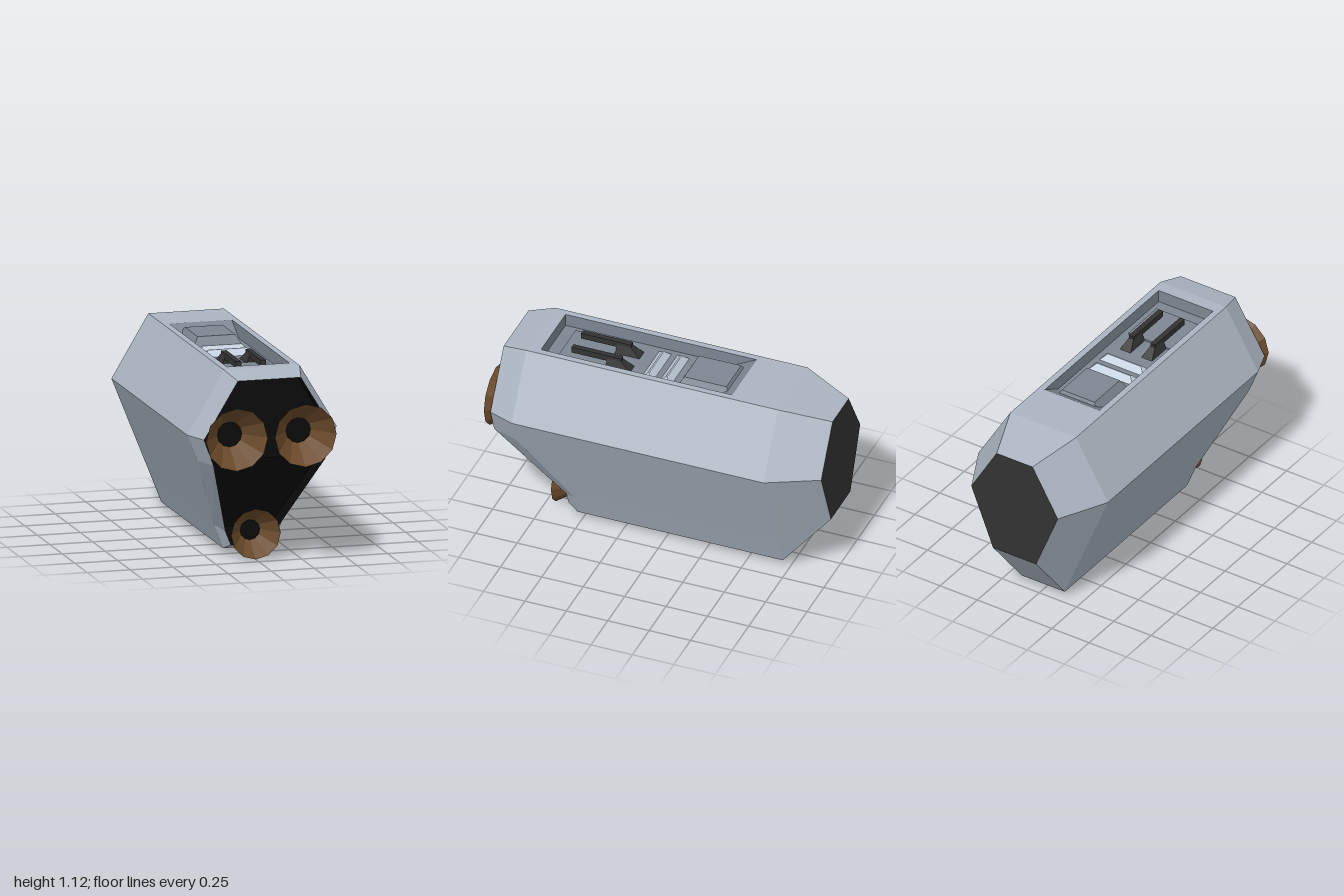
import * as THREE from 'three';

const mat = (color) => new THREE.MeshStandardMaterial({ color, flatShading: true, side: THREE.DoubleSide });
const HULL = mat(0xaab4c0), PANEL = mat(0x7d8692), STRIP = mat(0xc4d0de);
const DARK = mat(0x333333), BLACK = mat(0x0a0a0a), BROWN = mat(0x6b4a2b);

// Flat-shaded geometry from a list of four-cornered faces
function quadGeometry(quads) {
  const pos = quads.flatMap(([a, b, c, d]) => [a, b, c, a, c, d]).flat();
  const g = new THREE.BufferGeometry();
  g.setAttribute('position', new THREE.Float32BufferAttribute(pos, 3));
  g.computeVertexNormals();
  return g;
}

function add(parent, name, geometry, material) {
  const m = new THREE.Mesh(geometry, material);
  m.name = name;
  parent.add(m);
  return m;
}

// Closed ring from its +x half, listed top to bottom
const mirrorX = ([x, y, z]) => [-x, y, z];
const ring = (half) => [...half, ...half.map(mirrorX).reverse()];

// Faces between two rings; skipTop leaves the top face open
function loft(a, b, skipTop = false) {
  const quads = [];
  for (let i = 0; i < a.length - (skipTop ? 1 : 0); i++) {
    const j = (i + 1) % a.length;
    quads.push([a[i], b[i], b[j], a[j]]);
  }
  return quads;
}

// Cap of a ring, in rows from top to bottom
function cap(half, facing) {
  const quads = [];
  for (let i = 0; i < half.length - 1; i++) {
    const q = [half[i], mirrorX(half[i]), mirrorX(half[i + 1]), half[i + 1]];
    quads.push(facing > 0 ? q : q.reverse());
  }
  return quads;
}

// Block with sloped sides: base and top given as [x half-width, zMin, zMax, y]
function taperedBlock([bx, b0, b1, by], [tx, t0, t1, ty]) {
  const rect = (x, z0, z1, y) => [[x, y, z0], [x, y, z1], [-x, y, z1], [-x, y, z0]];
  const b = rect(bx, b0, b1, by), t = rect(tx, t0, t1, ty);
  const quads = b.map((p, i) => [p, t[i], t[(i + 1) % 4], b[(i + 1) % 4]]);
  quads.push([t[0], t[3], t[2], t[1]], b);
  return quadGeometry(quads);
}

function buildHull(group) {
  const backEnd = [[0.12, 1.055, -1], [0.29, 0.765, -1], [0.26, 0.69, -1], [0.16, 0.44, -1], [0.145, 0.4, -1]];
  const section = [[0.22, 1.125], [0.435, 0.765], [0.375, 0.615], [0.2, 0.18], [0.145, 0.04]];
  const at = (zs) => section.map(([x, y], i) => [x, y, zs[i]]);
  const backShoulder = at([-0.71, -0.71, -0.71, -0.71, -0.71]);
  const frontShoulder = at([0.81, 0.81, 0.81, 0.53, 0.53]);
  const rim = [[0.183, 1.09, 0.96], [0.38, 0.765, 0.96], [0.325, 0.615, 0.96], [0.15, 0.15, 0.595], [0.118, 0.07, 0.595]];
  const inset = rim.map(([x, y, z]) => [x, y, z - 0.125]);

  add(group, 'hull', quadGeometry([
    ...loft(ring(backEnd), ring(backShoulder)),
    ...loft(ring(backShoulder), ring(frontShoulder), true),
    ...loft(ring(frontShoulder), ring(rim)),
  ]), HULL);
  add(group, 'backPlate', quadGeometry(cap(backEnd, -1)), DARK);
  add(group, 'frontRecess', quadGeometry([...loft(ring(rim), ring(inset)), ...cap(inset, 1)]), BLACK);
}

function buildTopBay(group) {
  const X = 0.182, Z0 = -0.42, ZR = -0.28, Z1 = 0.735, TOP = 1.125, FLOOR = 1.05;

  // Deck around the opening (shape y becomes -z)
  const deck = new THREE.Shape([[-0.22, -0.81], [0.22, -0.81], [0.22, 0.71], [-0.22, 0.71]].map((p) => new THREE.Vector2(...p)));
  deck.holes.push(new THREE.Path([[-X, -Z1], [-X, -Z0], [X, -Z0], [X, -Z1]].map((p) => new THREE.Vector2(...p))));
  add(group, 'topDeck', new THREE.ShapeGeometry(deck).rotateX(-Math.PI / 2).translate(0, TOP, 0), HULL);

  // Sunken floor, ramp and walls
  const wall = (x) => [[x, TOP, Z0], [x, TOP, Z1], [x, FLOOR, Z1], [x, FLOOR, ZR]];
  add(group, 'bayLining', quadGeometry([
    [[-X, FLOOR, ZR], [-X, FLOOR, Z1], [X, FLOOR, Z1], [X, FLOOR, ZR]],
    [[-X, TOP, Z0], [-X, FLOOR, ZR], [X, FLOOR, ZR], [X, TOP, Z0]],
    [[-X, FLOOR, Z1], [-X, TOP, Z1], [X, TOP, Z1], [X, FLOOR, Z1]],
    wall(-X), wall(X).reverse(),
  ]), PANEL);

  // Raised hatch, strips and plate
  add(group, 'hatch', taperedBlock([0.147, -0.39, -0.065, FLOOR], [0.11, -0.355, -0.1, 1.115]), PANEL);
  for (const z of [0.01, 0.118]) {
    add(group, 'strip', taperedBlock([0.147, z - 0.037, z + 0.037, FLOOR], [0.112, z - 0.006, z + 0.002, 1.085]), STRIP);
  }
  add(group, 'plate', taperedBlock([0.147, 0.375, 0.66, FLOOR], [0.147, 0.375, 0.66, 1.06]), PANEL);

  // Pair of levers: wedge foot with a thin arm reaching forward
  for (const side of [-1, 1]) {
    const lever = new THREE.Group();
    lever.name = side > 0 ? 'leftLever' : 'rightLever';
    lever.position.x = side * 0.072;
    add(lever, 'leverFoot', taperedBlock([0.035, 0.23, 0.375, FLOOR], [0.016, 0.29, 0.375, 1.1]), DARK);
    add(lever, 'leverArm', new THREE.BoxGeometry(0.032, 0.035, 0.3).translate(0, 1.1, 0.44), DARK);
    group.add(lever);
  }
}

// Twelve-sided open cone with a dark throat
function buildNozzle(group, name, x, y, z, radius, depth) {
  const nozzle = new THREE.Group();
  nozzle.name = name;
  nozzle.position.set(x, y, z);
  const throat = radius * 0.4;
  add(nozzle, 'bell', new THREE.CylinderGeometry(radius, throat, depth, 12, 1, true)
    .rotateX(Math.PI / 2).translate(0, 0, -depth / 2), BROWN);
  add(nozzle, 'throat', new THREE.CircleGeometry(throat, 12).translate(0, 0, -depth), BLACK);
  group.add(nozzle);
}

export function createModel() {
  const model = new THREE.Group();
  model.name = 'thrusterPod';
  buildHull(model);
  buildTopBay(model);
  buildNozzle(model, 'leftNozzle', 0.2, 0.763, 1, 0.18, 0.15);
  buildNozzle(model, 'rightNozzle', -0.2, 0.763, 1, 0.18, 0.15);
  buildNozzle(model, 'lowerNozzle', 0, 0.145, 0.69, 0.145, 0.12);
  return model;
}
